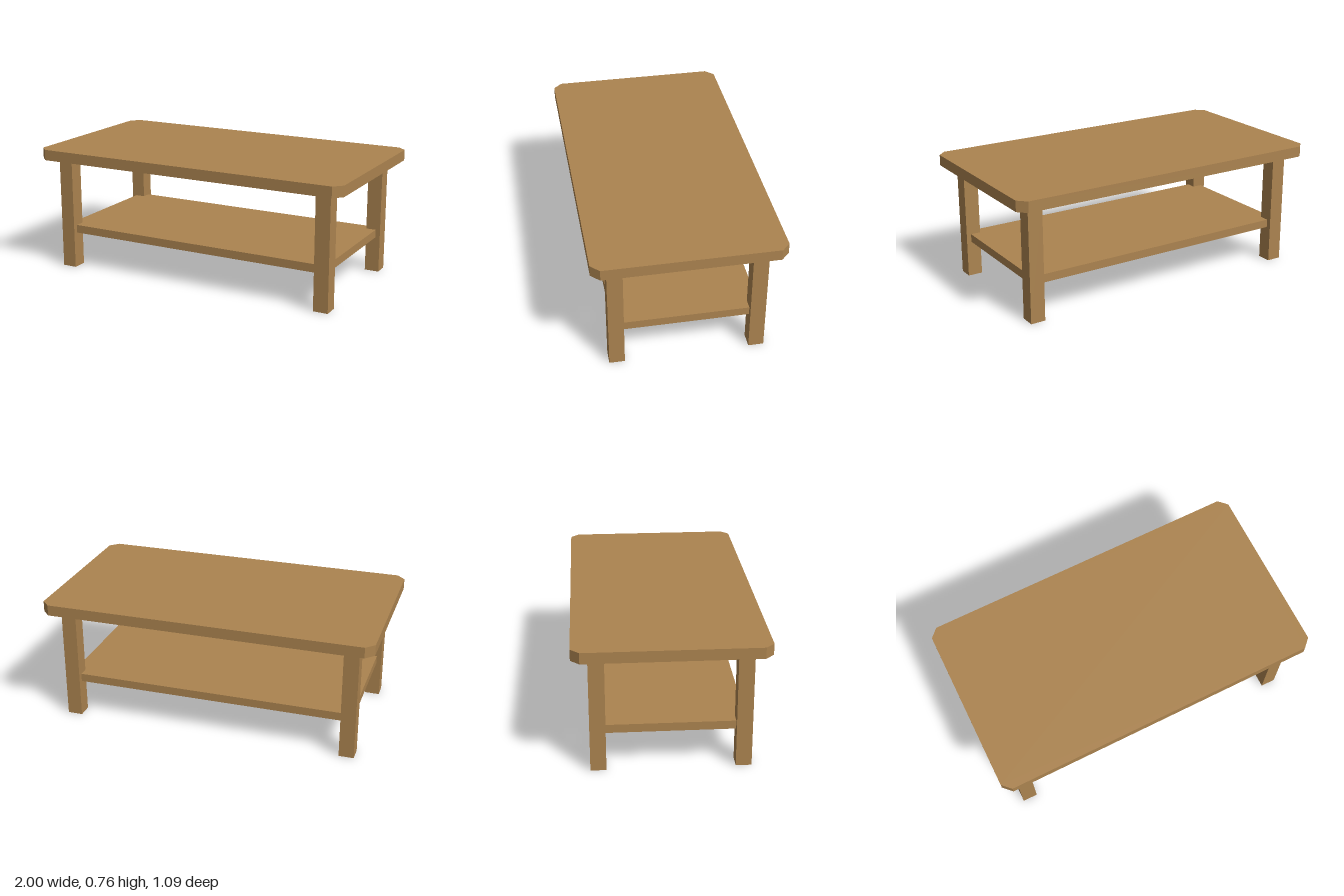
import * as THREE from 'three';

export function createModel() {
  const table = new THREE.Group();
  table.name = 'coffeeTable';
  const wood = new THREE.MeshStandardMaterial({ color: 0xac8450 });
  wood.name = 'warm wood';

  const add = (name, geometry, x, y, z) => {
    const mesh = new THREE.Mesh(geometry, wood);
    mesh.name = name;
    mesh.position.set(x, y, z);
    table.add(mesh);
    return mesh;
  };

  // Tabletop: rectangle with clipped corners, extruded upwards
  const hx = 1, hz = 0.546, cut = 0.05;
  const outline = new THREE.Shape([
    [hx - cut, -hz], [hx, -hz + cut], [hx, hz - cut], [hx - cut, hz],
    [-hx + cut, hz], [-hx, hz - cut], [-hx, -hz + cut], [-hx + cut, -hz],
  ].map(([x, y]) => new THREE.Vector2(x, y)));
  const topGeometry = new THREE.ExtrudeGeometry(outline, { depth: 0.065, bevelEnabled: false });
  topGeometry.rotateX(-Math.PI / 2);
  add('tabletop', topGeometry, 0, 0.7, 0);

  // Four square legs
  const legGeometry = new THREE.BoxGeometry(0.09, 0.7, 0.09);
  for (const [side, sx] of [['Left', 1], ['Right', -1]]) {
    for (const [end, sz] of [['front', 1], ['back', -1]]) {
      add(`${end}${side}Leg`, legGeometry, sx * 0.864, 0.35, sz * 0.41);
    }
  }

  // Lower shelf, let into the legs
  add('shelf', new THREE.BoxGeometry(1.76, 0.05, 0.85), 0, 0.245, 0);

  return table;
}
